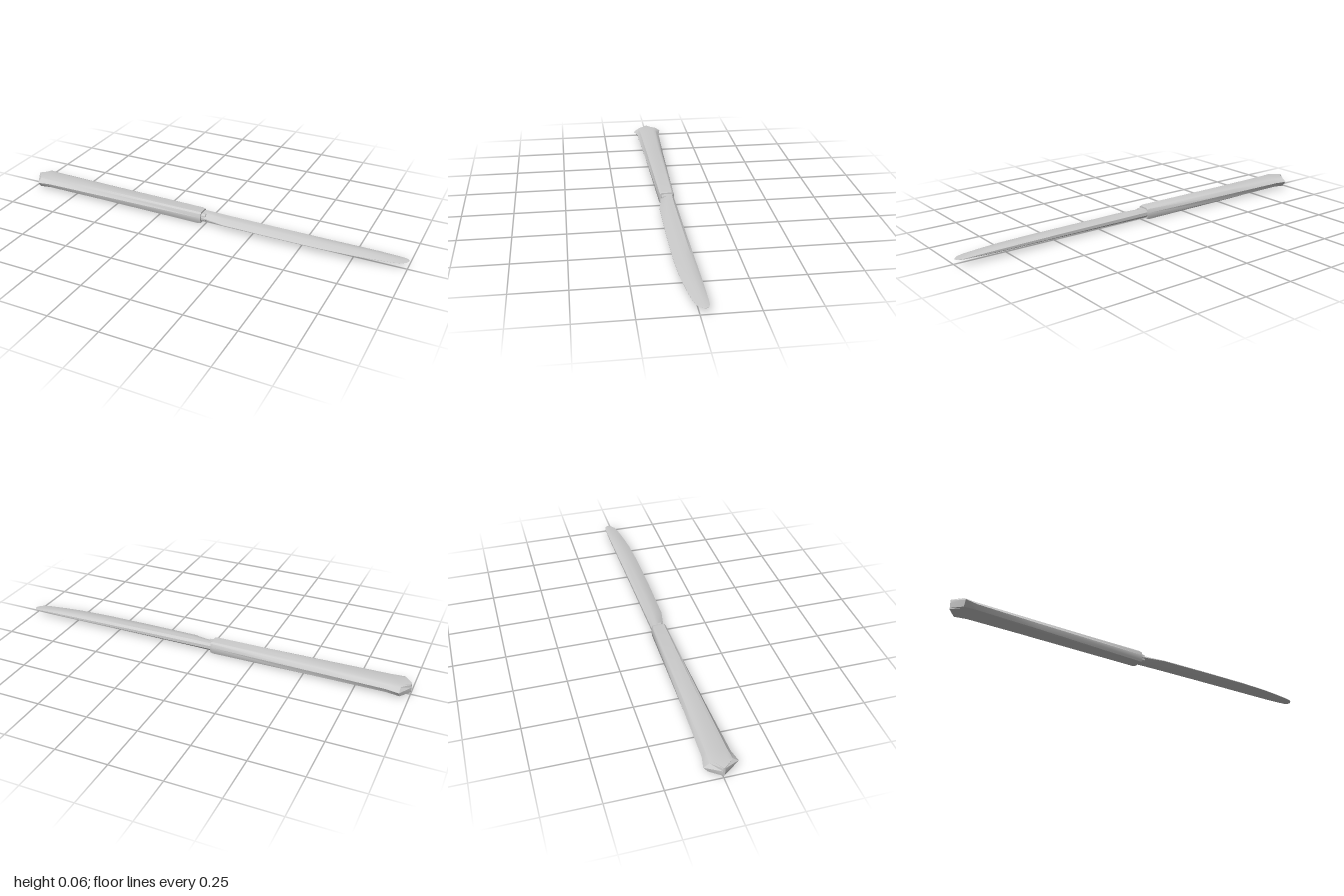
import * as THREE from 'three';
import { toCreasedNormals } from 'three/addons/utils/BufferGeometryUtils.js';

// Skin a row of closed [z, y] cross-sections along x, capped at both ends
function loft(sections, crease) {
  const n = sections[0].ring.length, pos = [], index = [];
  for (const { x, ring } of sections) for (const [z, y] of ring) pos.push(x, y, z);
  for (let i = 0; i < sections.length - 1; i++) {
    for (let j = 0; j < n; j++) {
      const a = i * n + j, b = i * n + (j + 1) % n;
      index.push(a, a + n, b, b, a + n, b + n);
    }
  }
  const last = (sections.length - 1) * n;
  for (let j = 1; j < n - 1; j++) {
    index.push(0, j, j + 1, last, last + j + 1, last + j);
  }
  const geo = new THREE.BufferGeometry();
  geo.setAttribute('position', new THREE.Float32BufferAttribute(pos, 3));
  geo.setIndex(index);
  return toCreasedNormals(geo, crease);
}

// Mirror a bottom-to-top half profile into a full ring
const mirrored = (x, half) => ({
  x, ring: [...half, ...half.slice().reverse().map(([z, y]) => [-z, y])],
});

// Blade ring: sharp edge towards +z, thick bevelled spine towards -z
function bladeSection(x, edge, spine, thick) {
  const mid = 0.031, w = edge + spine, h = thick / 2;
  const at = (t, k) => [edge - w * t, mid + h * k];
  return { x, ring: [
    at(0, -0.08), at(0, 0.08), at(0.36, 0.9), at(0.6, 1), at(0.86, 0.95), at(1, 0.4),
    at(1, -0.4), at(0.86, -0.95), at(0.6, -1), at(0.36, -0.9),
  ] };
}

export function createModel() {
  const model = new THREE.Group();
  const material = new THREE.MeshStandardMaterial({ color: 0xcccccc });
  const add = (name, geo) => {
    const mesh = new THREE.Mesh(geo, material);
    mesh.name = name;
    model.add(mesh);
  };

  // Faceted handle flaring to a wedge-shaped butt
  add('handle', loft([
    mirrored(-1.0, [[0.003, 0.013], [0.004, 0.018], [0.005, 0.04], [0.004, 0.055], [0.003, 0.059]]),
    mirrored(-0.96, [[0.035, 0.011], [0.056, 0.013], [0.076, 0.04], [0.05, 0.058], [0.03, 0.061]]),
    mirrored(-0.9, [[0.036, 0.014], [0.052, 0.017], [0.063, 0.039], [0.046, 0.057], [0.03, 0.061]]),
    mirrored(-0.6, [[0.036, 0.007], [0.046, 0.013], [0.053, 0.037], [0.041, 0.056], [0.028, 0.061]]),
    mirrored(-0.035, [[0.033, 0.001], [0.037, 0.009], [0.039, 0.035], [0.034, 0.054], [0.026, 0.061]]),
    mirrored(-0.022, [[0.031, 0.003], [0.034, 0.01], [0.036, 0.035], [0.031, 0.052], [0.024, 0.058]]),
  ], 0.5));

  // Neck joining the blade to the handle
  add('neck', loft([
    mirrored(-0.05, [[0.02, 0.01], [0.028, 0.017], [0.03, 0.031], [0.028, 0.045], [0.02, 0.052]]),
    mirrored(0.0, [[0.018, 0.012], [0.025, 0.018], [0.027, 0.031], [0.025, 0.044], [0.018, 0.05]]),
  ], 0.5));

  // Blade: [x, cutting edge, spine, thickness]
  add('blade', loft([
    [-0.03, 0.028, 0.034, 0.041], [0.03, 0.037, 0.034, 0.04], [0.1, 0.05, 0.035, 0.039],
    [0.35, 0.053, 0.037, 0.034], [0.6, 0.052, 0.04, 0.029], [0.75, 0.045, 0.042, 0.025],
    [0.85, 0.034, 0.043, 0.021], [0.94, 0.021, 0.043, 0.01], [0.975, 0.011, 0.042, 0.005],
    [0.992, -0.003, 0.038, 0.003], [1.0, -0.016, 0.027, 0.002],
  ].map((s) => bladeSection(...s)), 0.6));

  return model;
}
